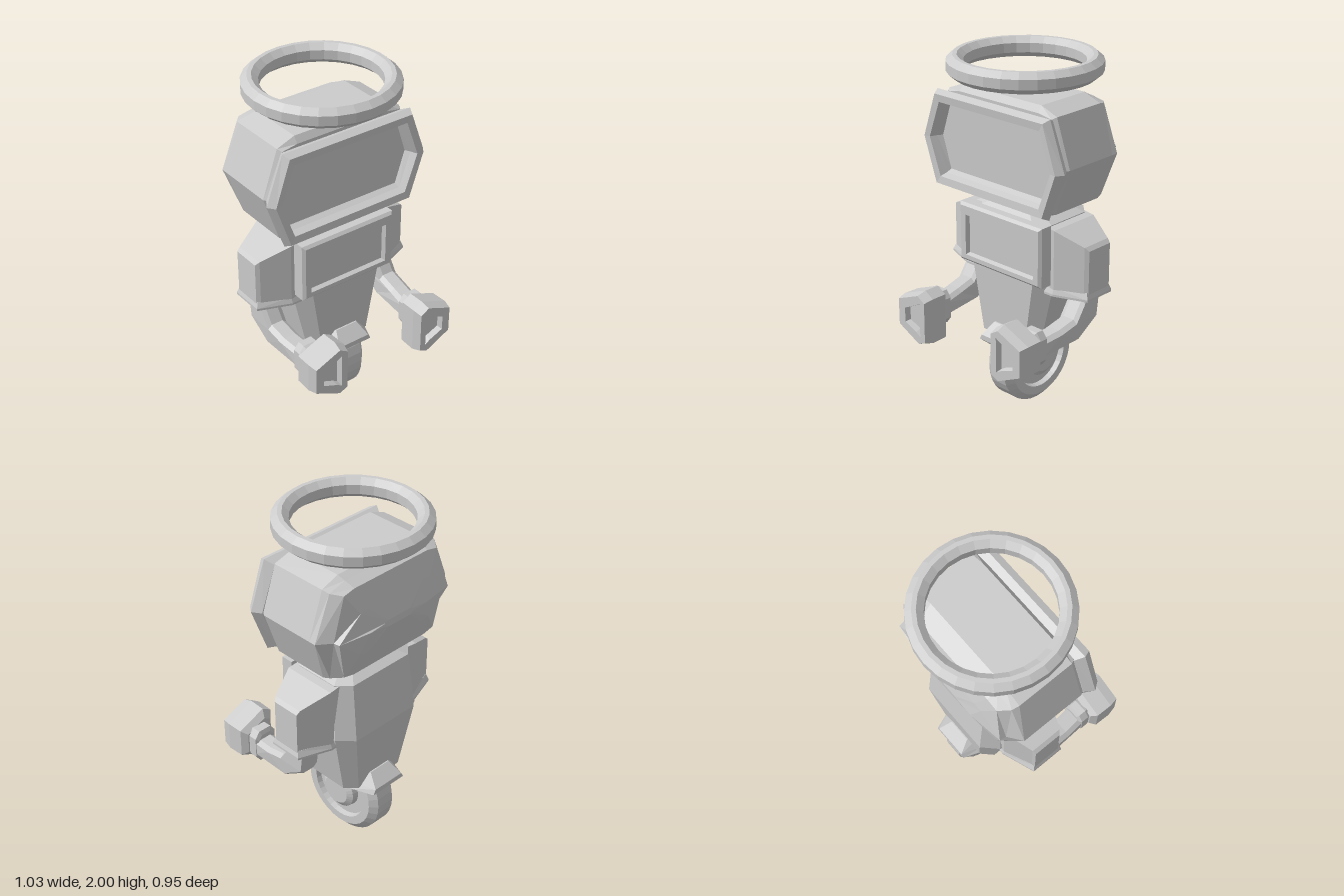
import * as THREE from 'three';

const material = new THREE.MeshStandardMaterial({ color: 0xcccccc, flatShading: true, side: THREE.DoubleSide });
const CX = 0.012; // mirror plane of the body

function mesh(name, geometry, parent) {
  const m = new THREE.Mesh(geometry, material);
  m.name = name;
  parent.add(m);
  return m;
}

// Closed skin through equally long rings of [x, y, z], capped at both ends, turned outwards.
function loft(rings) {
  const pos = [];
  const tri = (a, b, c) => pos.push(...a, ...b, ...c);
  const n = rings[0].length;
  const centre = r => [0, 1, 2].map(k => r.reduce((s, p) => s + p[k], 0) / n);
  const first = rings[0], last = rings[rings.length - 1];
  const c0 = centre(first), c1 = centre(last);
  for (let i = 0; i < n; i++) {
    const j = (i + 1) % n;
    tri(c0, first[j], first[i]);
    tri(c1, last[i], last[j]);
    for (let k = 0; k + 1 < rings.length; k++) {
      const a = rings[k], b = rings[k + 1];
      tri(a[i], a[j], b[j]);
      tri(a[i], b[j], b[i]);
    }
  }
  let volume = 0;
  for (let i = 0; i < pos.length; i += 9) {
    const [a, b, c] = [0, 3, 6].map(o => new THREE.Vector3(pos[i + o], pos[i + o + 1], pos[i + o + 2]));
    volume += a.dot(b.cross(c));
  }
  if (volume < 0) {
    for (let i = 0; i < pos.length; i += 9) {
      for (let k = 0; k < 3; k++) [pos[i + 3 + k], pos[i + 6 + k]] = [pos[i + 6 + k], pos[i + 3 + k]];
    }
  }
  const g = new THREE.BufferGeometry();
  g.setAttribute('position', new THREE.Float32BufferAttribute(pos, 3));
  g.computeVertexNormals();
  return g;
}

// Rectangle with cut corners, as [u, v] pairs.
function chamfered(u0, u1, v0, v1, cu, cv = cu) {
  return [[u0 + cu, v0], [u1 - cu, v0], [u1, v0 + cv], [u1, v1 - cv],
    [u1 - cu, v1], [u0 + cu, v1], [u0, v1 - cv], [u0, v0 + cv]];
}
const levelRing = (y, pts) => pts.map(([x, z]) => [x, y, z]);

function buildHead(root) {
  const head = new THREE.Group();
  head.name = 'head';
  head.position.set(-0.015, 1.51, 0);
  root.add(head);

  // Shell: wide, ten-sided sections from front to back
  const section = (mid, corner, ch, top, th, z) => [[mid, 0], [corner, ch], [top, th], [-top, th], [-corner, ch],
    [-mid, 0], [-corner, -ch], [-top, -th], [top, -th], [corner, -ch]].map(([x, y]) => [x, y, z]);
  mesh('headShell', loft([
    section(0.46, 0.37, 0.25, 0.28, 0.265, 0.125),
    section(0.475, 0.385, 0.26, 0.28, 0.3, 0.1),
    section(0.475, 0.385, 0.26, 0.28, 0.3, -0.23),
    section(0.475, 0.375, 0.25, 0.27, 0.28, -0.27),
    section(0.40, 0.33, 0.24, 0.26, 0.255, -0.325),
    section(0.395, 0.25, 0.12, 0.20, 0.13, -0.36),
    section(0.20, 0.1, 0.01, 0.08, 0.02, -0.388),
  ]), head);

  // Visor frame: hexagonal lip running into a sunken screen
  const hex = (mid, corner, h, z) => [[mid, 0], [corner, h], [-corner, h], [-mid, 0], [-corner, -h], [corner, -h]]
    .map(([x, y]) => [x, y, z]);
  mesh('visorFrame', loft([
    hex(0.47, 0.375, 0.245, 0.12), hex(0.502, 0.402, 0.268, 0.17), hex(0.472, 0.385, 0.25, 0.21),
    hex(0.435, 0.358, 0.208, 0.205), hex(0.42, 0.35, 0.195, 0.165), hex(0.405, 0.345, 0.18, 0.135),
  ]), head);
}

function buildTorso(root) {
  const torso = new THREE.Group();
  torso.name = 'torso';
  torso.position.x = CX;
  root.add(torso);
  mesh('body', loft([
    levelRing(0.43, chamfered(-0.215, 0.215, -0.29, 0.115, 0.06)),
    levelRing(0.82, chamfered(-0.3, 0.3, -0.335, 0.125, 0.08)),
    levelRing(1.15, chamfered(-0.275, 0.275, -0.295, 0.11, 0.07)),
    levelRing(1.205, chamfered(-0.16, 0.16, -0.2, 0.05, 0.04)),
  ]), torso);

  // Chest panel with a sunken window
  const rect = (x, y0, y1, z) => [[-x, y0, z], [x, y0, z], [x, y1, z], [-x, y1, z]];
  mesh('chestPanel', loft([
    rect(0.3, 0.825, 1.165, 0.07), rect(0.3, 0.825, 1.165, 0.14), rect(0.285, 0.84, 1.15, 0.155),
    rect(0.25, 0.865, 1.1, 0.155), rect(0.24, 0.875, 1.09, 0.132),
  ]), torso);
}

function buildArm(root, side) {
  const arm = new THREE.Group();
  arm.name = side > 0 ? 'leftArm' : 'rightArm';
  arm.position.x = CX;
  root.add(arm);
  const part = (name, rings) => mesh(name, loft(rings.map(r => r.map(([x, y, z]) => [x * side, y, z]))), arm);

  // Shoulder sleeve, tapering outwards, with a flared hem
  const slab = (x, y0, y1, z0, z1) => [[x, y0, z0], [x, y0, z1], [x, y1, z1], [x, y1, z0]];
  part('shoulder', [
    slab(0.24, 0.78, 1.15, -0.245, 0.065), slab(0.32, 0.78, 1.14, -0.245, 0.07),
    slab(0.475, 0.78, 1.07, -0.18, 0.005), slab(0.495, 0.78, 1.05, -0.175, -0.01),
  ]);
  const hem = (y, g) => [[0.26, -0.245 - g], [0.32, -0.245 - g], [0.495 + g, -0.18 - g], [0.495 + g, g],
    [0.32, 0.07 + g], [0.26, 0.07 + g]].map(([x, z]) => [x, y, z]);
  part('sleeveHem', [hem(0.768, 0.008), hem(0.78, 0.008), hem(0.815, -0.004)]);

  // Bent arm: rectangular sections between inner and outer path edges, as [x, y1, z1, y2, z2]
  const path = [[0.385, 0.85, -0.045, 0.85, -0.155], [0.385, 0.74, -0.045, 0.735, -0.157],
    [0.385, 0.645, 0.02, 0.605, -0.14], [0.38, 0.62, 0.13, 0.51, 0.0], [0.365, 0.605, 0.25, 0.495, 0.25]];
  part('forearm', path.map(([x, y1, z1, y2, z2]) => [
    [x - 0.06, y1 - 0.02, z1], [x - 0.035, y1, z1], [x + 0.035, y1, z1], [x + 0.06, y1 - 0.02, z1],
    [x + 0.06, y2 + 0.02, z2], [x + 0.035, y2, z2], [x - 0.035, y2, z2], [x - 0.06, y2 + 0.02, z2]]));

  // Cuff
  const cuff = (s, z) => chamfered(-0.07, 0.07, -0.1, 0.1, 0.03, 0.04)
    .map(([x, y]) => [0.36 + x * s, 0.558 + y * s, z]);
  part('cuff', [cuff(0.75, 0.23), cuff(1, 0.24), cuff(1, 0.285), cuff(0.85, 0.32)]);

  // Wedge-shaped hand with a sunken front
  const outline = [[0.115, 0.09], [-0.055, 0.16], [-0.112, 0.125], [-0.11, -0.14], [-0.055, -0.163], [0.115, -0.08]];
  const hand = (s, z) => outline.map(([x, y]) => [0.352 + x * s, 0.56 + y * s, z]);
  const socket = (s, z) => [[0.055, 0.04], [-0.03, 0.082], [-0.063, 0.1], [-0.063, -0.1], [-0.03, -0.08], [0.055, -0.045]]
    .map(([x, y]) => [0.352 + x * s, 0.56 + y * s, z]);
  part('hand', [hand(0.72, 0.295), hand(0.98, 0.325), hand(1, 0.42), hand(0.9, 0.475),
    socket(1, 0.475), socket(0.9, 0.44)]);
}

function buildWheel(root) {
  const wheel = new THREE.Group();
  wheel.name = 'wheel';
  wheel.position.set(0.025, 0.275, -0.084);
  root.add(wheel);
  // Lathe profile [radius, offset] for one side, mirrored for the other
  const half = [[0, 0.115], [0.085, 0.115], [0.115, 0.095], [0.12, 0.06], [0.18, 0.06], [0.187, 0.09], [0.235, 0.09], [0.275, 0.055]];
  const profile = [...half.map(([r, h]) => [r, -h]), ...half.slice().reverse()].map(([r, h]) => new THREE.Vector2(r, h));
  mesh('tyreAndHub', new THREE.LatheGeometry(profile, 32), wheel).rotation.z = -Math.PI / 2;

  // Hexagonal guards ahead of and behind the wheel
  const rows = [[0.375, 0.115, 0.155], [0.41, 0.168, 0.195], [0.44, 0.145, 0.195], [0.505, 0.1, 0.125]];
  for (const s of [1, -1]) {
    const z = v => -0.09 + s * (v + 0.09);
    mesh(s > 0 ? 'frontGuard' : 'backGuard', loft(rows.map(([y, w, v]) =>
      [[0.02 - w, y, z(0.06)], [0.02 + w, y, z(0.06)], [0.02 + w * 0.7, y, z(v)], [0.02 - w * 0.7, y, z(v)]])), root);
  }
}

export function createModel() {
  const root = new THREE.Group();
  root.name = 'robot';
  buildHead(root);
  buildTorso(root);
  buildArm(root, 1);
  buildArm(root, -1);
  buildWheel(root);

  // Floating ring with an eight-sided section
  const ring = [...chamfered(0.32, 0.413, -0.056, 0.056, 0.035, 0.03)].map(([r, h]) => new THREE.Vector2(r, h));
  ring.push(ring[0].clone());
  mesh('halo', new THREE.LatheGeometry(ring, 28), root).position.set(-0.003, 1.944, -0.067);
  return root;
}
